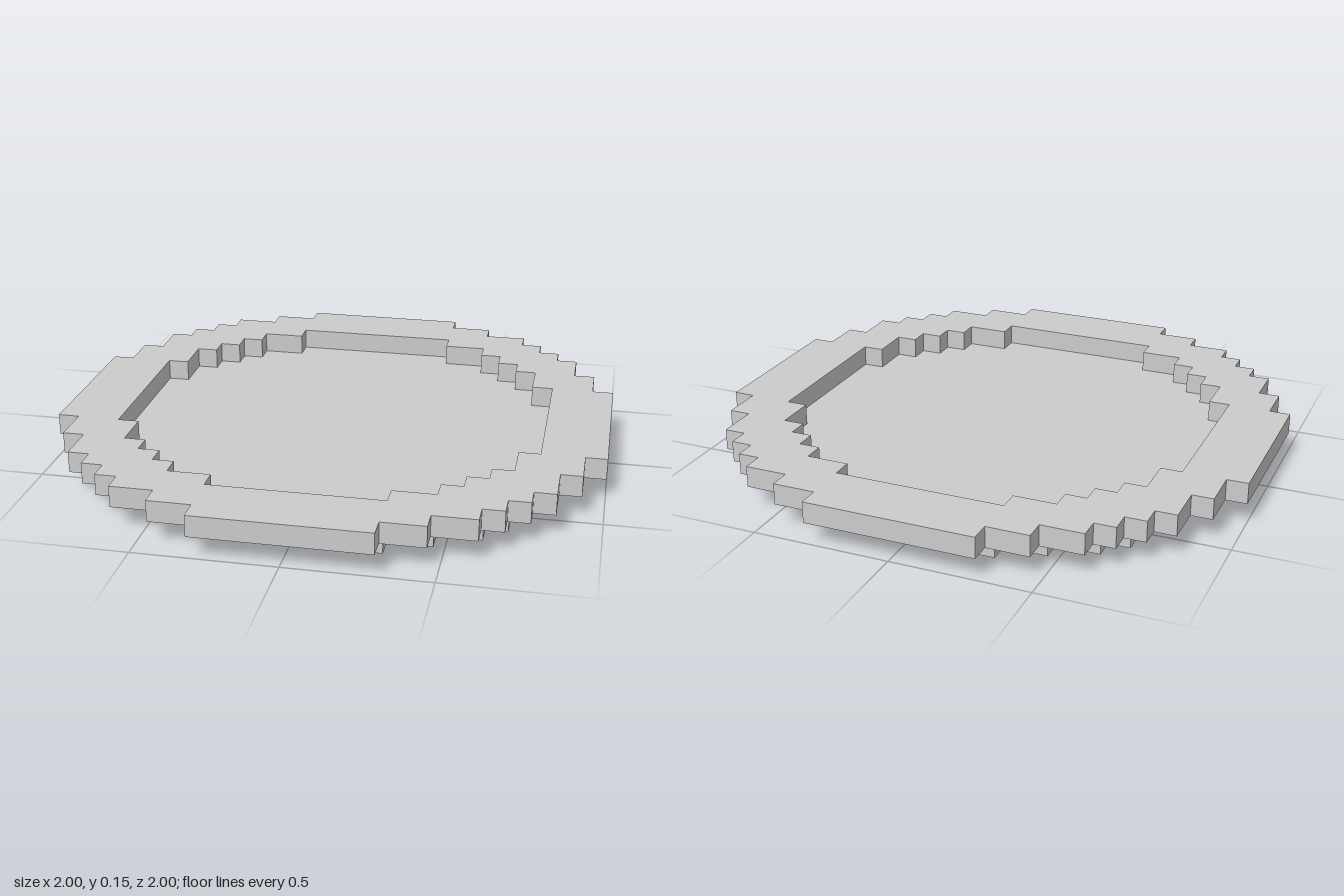
import * as THREE from 'three';

const U = 1 / 13; // one block

// Outer corners of one quarter of each stepped disc, in blocks
const RIM = [[13, 4], [12, 6], [11, 8], [10, 9], [9, 10], [8, 11], [6, 12], [4, 13]];
const OPENING = [[10, 4], [9, 6], [8, 7], [7, 8], [6, 9], [4, 10]];
const BASE = [[11, 4], [10, 6], [9, 8], [8, 9], [6, 10], [4, 11]];

// Adds the inner corners and turns the quarter four times round the centre
function steppedOutline(corners) {
  const quarter = [];
  corners.forEach(([x, y], i) => {
    quarter.push([x, y]);
    if (i < corners.length - 1) quarter.push([corners[i + 1][0], y]);
  });
  const points = [];
  for (let turn = 0; turn < 4; turn++) {
    for (const [x, y] of quarter) {
      const [px, py] = [[x, y], [-y, x], [-x, -y], [y, -x]][turn];
      points.push(new THREE.Vector2(px * U, py * U));
    }
  }
  return points;
}

// One layer, a block thick, lying flat with its underside at height y
function layer(name, shape, y, material) {
  const geometry = new THREE.ExtrudeGeometry(shape, { depth: U, bevelEnabled: false });
  geometry.rotateX(-Math.PI / 2);
  const mesh = new THREE.Mesh(geometry, material);
  mesh.name = name;
  mesh.position.y = y;
  return mesh;
}

export function createModel() {
  const group = new THREE.Group();
  group.name = 'steppedPlate';
  const material = new THREE.MeshStandardMaterial({ color: 0xcccccc, flatShading: true });

  // Solid floor of the plate
  group.add(layer('base', new THREE.Shape(steppedOutline(BASE)), 0, material));

  // Wide raised rim with a stepped opening
  const rim = new THREE.Shape(steppedOutline(RIM));
  rim.holes.push(new THREE.Path(steppedOutline(OPENING)));
  group.add(layer('rim', rim, U, material));

  return group;
}
